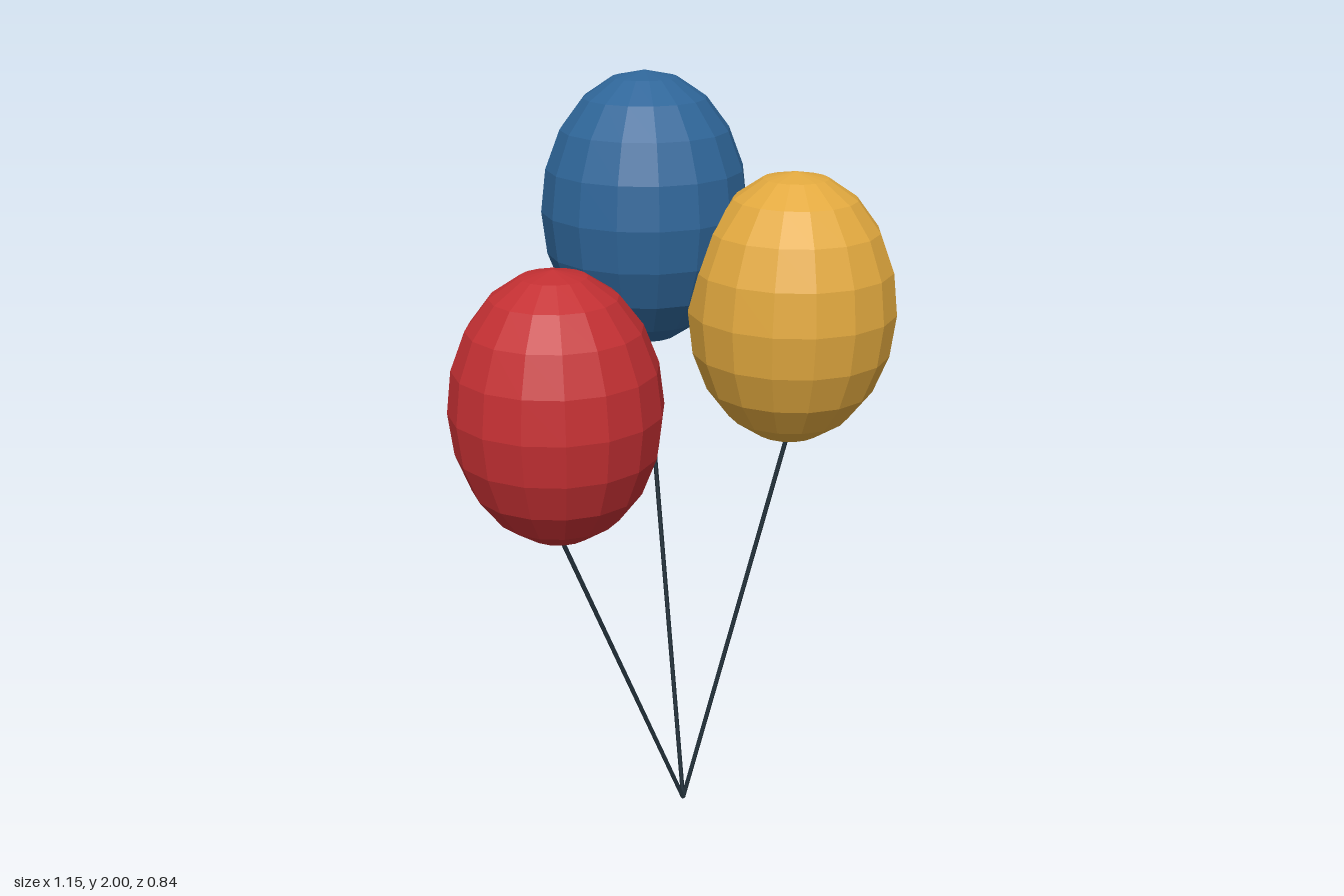
import * as THREE from 'three';

const RADIUS = 0.265;
const HALF_HEIGHT = 0.347;
const KNOT = new THREE.Vector3(0.06, 0, 0.053); // where all strings meet

function material(name, color) {
  const m = new THREE.MeshStandardMaterial({ color, flatShading: true });
  m.name = name;
  return m;
}

// Thin cylinder stretched between two points
function stringBetween(from, to, mat) {
  const dir = to.clone().sub(from);
  const mesh = new THREE.Mesh(new THREE.CylinderGeometry(0.006, 0.006, dir.length(), 6), mat);
  mesh.position.copy(from).addScaledVector(dir, 0.5);
  mesh.quaternion.setFromUnitVectors(new THREE.Vector3(0, 1, 0), dir.normalize());
  return mesh;
}

export function createModel() {
  const group = new THREE.Group();
  group.name = 'balloonBunch';
  const stringMat = material('dark string', 0x22303a);

  const balloons = [
    { name: 'red', color: 0xc43033, at: [-0.31, 1.243, 0.052] },
    { name: 'blue', color: 0x2f6699, at: [0.06, 1.653, -0.155] },
    { name: 'yellow', color: 0xe2a93f, at: [0.307, 1.43, 0.155] },
  ];

  for (const { name, color, at } of balloons) {
    // Faceted egg-shaped balloon
    const geo = new THREE.SphereGeometry(1, 16, 10);
    geo.scale(RADIUS, HALF_HEIGHT, RADIUS);
    const balloon = new THREE.Mesh(geo, material(`${name} balloon`, color));
    balloon.name = `${name}Balloon`;
    balloon.position.set(...at);

    // String from the shared knot to the underside of the balloon
    const end = new THREE.Vector3(at[0], at[1] - HALF_HEIGHT + 0.005, at[2]);
    const string = stringBetween(KNOT, end, stringMat);
    string.name = `${name}String`;
    group.add(balloon, string);
  }
  return group;
}
